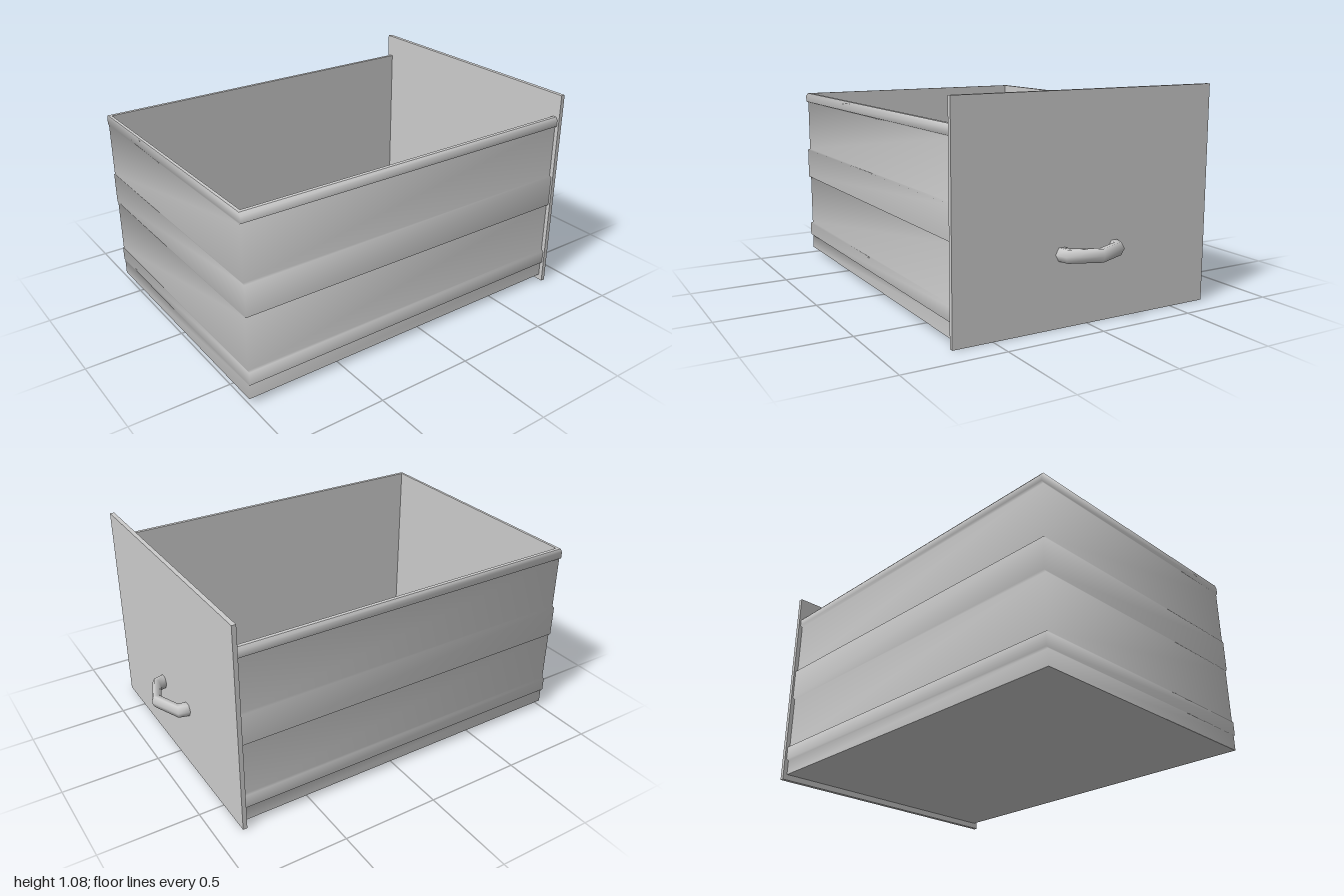
import * as THREE from 'three';

// Skin over a list of sections, each a list of [x, y, z] points
function loft(sections, closed = false) {
  const n = sections[0].length, index = [];
  for (let i = 0; i < sections.length - 1; i++) {
    for (let j = 0; j < (closed ? n : n - 1); j++) {
      const k = (j + 1) % n;
      const a = i * n + j, b = a + n, c = (i + 1) * n + k, d = i * n + k;
      index.push(a, b, c, a, c, d);
    }
  }
  const g = new THREE.BufferGeometry();
  g.setAttribute('position', new THREE.Float32BufferAttribute(sections.flat(2), 3));
  g.setIndex(index);
  g.computeVertexNormals();
  return g;
}

export function createModel() {
  const group = new THREE.Group();
  const material = new THREE.MeshStandardMaterial({ color: 0xcccccc, side: THREE.DoubleSide });
  const flat = material.clone();
  flat.flatShading = true;

  const add = (name, geometry, mat = material) => {
    const mesh = new THREE.Mesh(geometry, mat);
    mesh.name = name;
    group.add(mesh);
    return mesh;
  };

  const front = 0.85, back = -1, base = 0.678, rib = 0.69;

  // Plan corners of the three-sided bin: [is at the back, side]
  const corners = [[0, -1], [1, -1], [1, 1], [0, 1]];

  // Ribbed outer skin, smooth around the back corners: [half width, height]
  const profile = [
    [base, 0.03], [base, 0.107], [rib, 0.112], [rib, 0.18], [base, 0.185],
    [base, 0.46], [rib, 0.465], [rib, 0.625], [base, 0.63],
    [base, 0.905], [rib, 0.912], [rib, 0.945], [base, 0.96],
  ];
  add('ribbedWalls', loft(corners.map(([atBack, s]) =>
    profile.map(([w, y]) => [atBack ? back : front, y, w * s]))));

  // Top rim and plain inner walls
  const inner = [[base, 0.96, 0], [0.66, 0.96, 0.015], [0.66, 0.045, 0.015]];
  add('innerWalls', loft(corners.map(([atBack, s]) =>
    inner.map(([w, y, inset]) => [atBack ? back + inset : front, y, w * s]))), flat);

  // Floor of the bin
  add('floor', new THREE.BoxGeometry(1.848, 0.02, 1.354)).position.set(-0.074, 0.04, 0);

  // Front panel, larger than the bin
  add('frontPanel', new THREE.BoxGeometry(0.022, 1.08, 1.4)).position.set(0.861, 0.54, 0);

  // Six-sided bent handle: outer and inner [x, z] at each mitred joint
  const half = [
    [0.868, 0.18, 0.868, 0.115],
    [0.93, 0.163, 0.905, 0.105],
    [1.0, 0, 0.947, 0],
  ];
  const joints = [...half, ...half.slice(0, 2).reverse().map(([a, b, c, d]) => [a, -b, c, -d])];
  add('handle', loft(joints.map(([ox, oz, ix, iz]) =>
    Array.from({ length: 6 }, (_, k) => {
      const a = k * Math.PI / 3, t = (1 + Math.cos(a)) / 2;
      return [ix + (ox - ix) * t, 0.347 + 0.036 * Math.sin(a), iz + (oz - iz) * t];
    })), true));

  return group;
}
